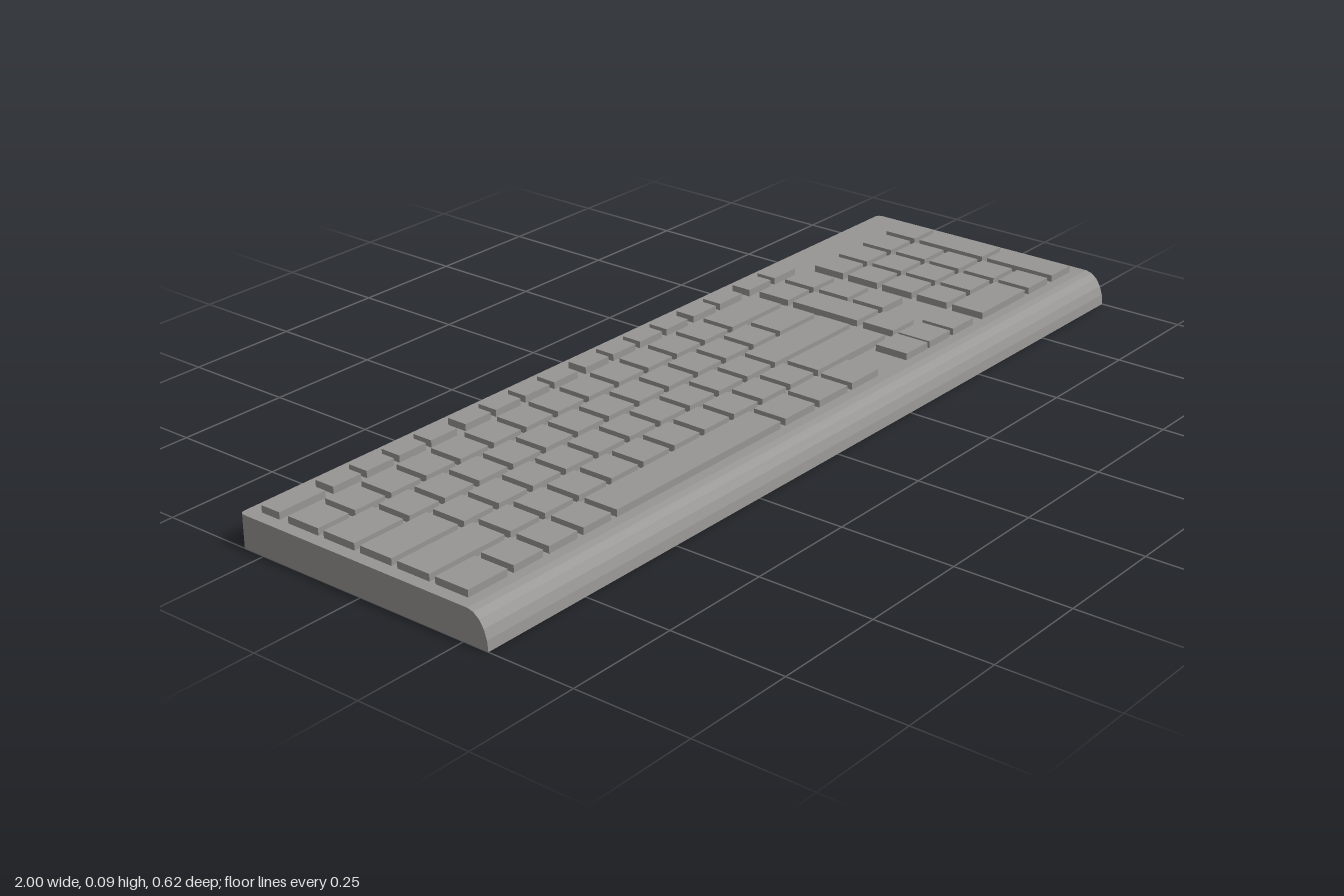
import * as THREE from 'three';

const U = 0.0916;      // key pitch
const GAP = 0.016;     // space between keys
const LEFT = -0.973;   // left edge of the first key
const BODY_H = 0.07;
const KEY_TOP = 0.085;

const material = new THREE.MeshStandardMaterial({ color: 0x979593 });

// Case: plan outline with rounded back corners, front edge rolled over by a faceted quarter ellipse
function makeBody() {
  const hz = 0.308, r = 0.012, roll = 0.046;
  const plan = new THREE.Shape();
  plan.moveTo(-1, -hz);
  plan.lineTo(1, -hz);
  plan.lineTo(1, hz - r);
  plan.absarc(1 - r, hz - r, r, 0, Math.PI / 2, false);
  plan.lineTo(-1 + r, hz);
  plan.absarc(-1 + r, hz - r, r, Math.PI / 2, Math.PI, false);
  const geo = new THREE.ExtrudeGeometry(plan, { depth: 1, steps: 5, curveSegments: 2, bevelEnabled: false });
  geo.rotateX(-Math.PI / 2);
  const p = geo.attributes.position;
  for (let i = 0; i < p.count; i++) {
    const a = p.getY(i) * Math.PI / 2;
    p.setY(i, BODY_H * Math.sin(a));
    if (p.getZ(i) > 0) p.setZ(i, hz - roll * (1 - Math.cos(a)));
  }
  geo.computeVertexNormals();
  const body = new THREE.Mesh(geo, material);
  body.name = 'body';
  return body;
}

// One key; u and w are measured in key pitches, z0 to z1 is its depth range
function makeKey(name, u, w, z0, z1) {
  const bottom = BODY_H - 0.005;
  const width = w * U - GAP;
  const key = new THREE.Mesh(new THREE.BoxGeometry(width, KEY_TOP - bottom, z1 - z0), material);
  key.position.set(LEFT + u * U + width / 2, (KEY_TOP + bottom) / 2, (z0 + z1) / 2);
  key.name = name;
  return key;
}

export function createModel() {
  const model = new THREE.Group();
  model.name = 'keyboard';
  model.add(makeBody());

  const group = (name) => {
    const g = new THREE.Group();
    g.name = name;
    model.add(g);
    return g;
  };
  const rowZ = (row) => -0.207 + row * 0.092;
  const addKey = (g, name, u, row, w = 1, rows = 1) =>
    g.add(makeKey(name, u, w, rowZ(row), rowZ(row + rows - 1) + 0.078));
  const ones = (n) => Array(n).fill(1);

  // Main block: key widths of each row, back to front
  const main = group('mainKeys');
  [
    [...ones(13), 2],
    [1.5, ...ones(12), 1.5],
    [2, ...ones(10), 3],
    [2.25, ...ones(10), 2.75],
    [1.25, 1, 1, 1, 5.5, 1.2, 1.2, 1.15],
  ].forEach((widths, row) => {
    let u = 0;
    for (const w of widths) {
      addKey(main, w > 5 ? 'spaceBar' : 'key', u, row, w);
      u += w;
    }
  });

  // Shallow function row along the back
  const functionRow = group('functionKeys');
  const addFunction = (u, w) => functionRow.add(makeKey('functionKey', u, w, -0.277, -0.23));
  addFunction(0, 1.42);
  for (const start of [1.46, 5.3, 9.15]) {
    for (let i = 0; i < 4; i++) addFunction(start + i * 0.935, 0.95);
  }
  for (const u of [12.95, 13.93, 15.05, 16.03]) addFunction(u, 1);

  // Navigation keys and arrows
  const navigation = group('navigationKeys');
  addKey(navigation, 'navigationKey', 15.12, 0);
  addKey(navigation, 'tallNavigationKey', 15.12, 1, 1, 2);
  for (let row = 0; row < 3; row++) addKey(navigation, 'navigationKey', 16.13, row);
  addKey(navigation, 'arrowKey', 15.14, 3);
  for (const u of [14.24, 15.14, 16.1]) addKey(navigation, 'arrowKey', u, 4);

  // Number pad with two tall keys and a wide zero
  const pad = group('numberPad');
  const padU = 17.32;
  for (let row = 0; row < 4; row++) {
    for (let i = 0; i < 3; i++) addKey(pad, 'padKey', padU + i, row);
  }
  addKey(pad, 'widePadKey', padU, 4, 2);
  addKey(pad, 'padKey', padU + 2, 4);
  addKey(pad, 'padKey', padU + 3.03, 0);
  for (const row of [1, 3]) addKey(pad, 'tallPadKey', padU + 3.03, row, 1, 2);

  return model;
}
